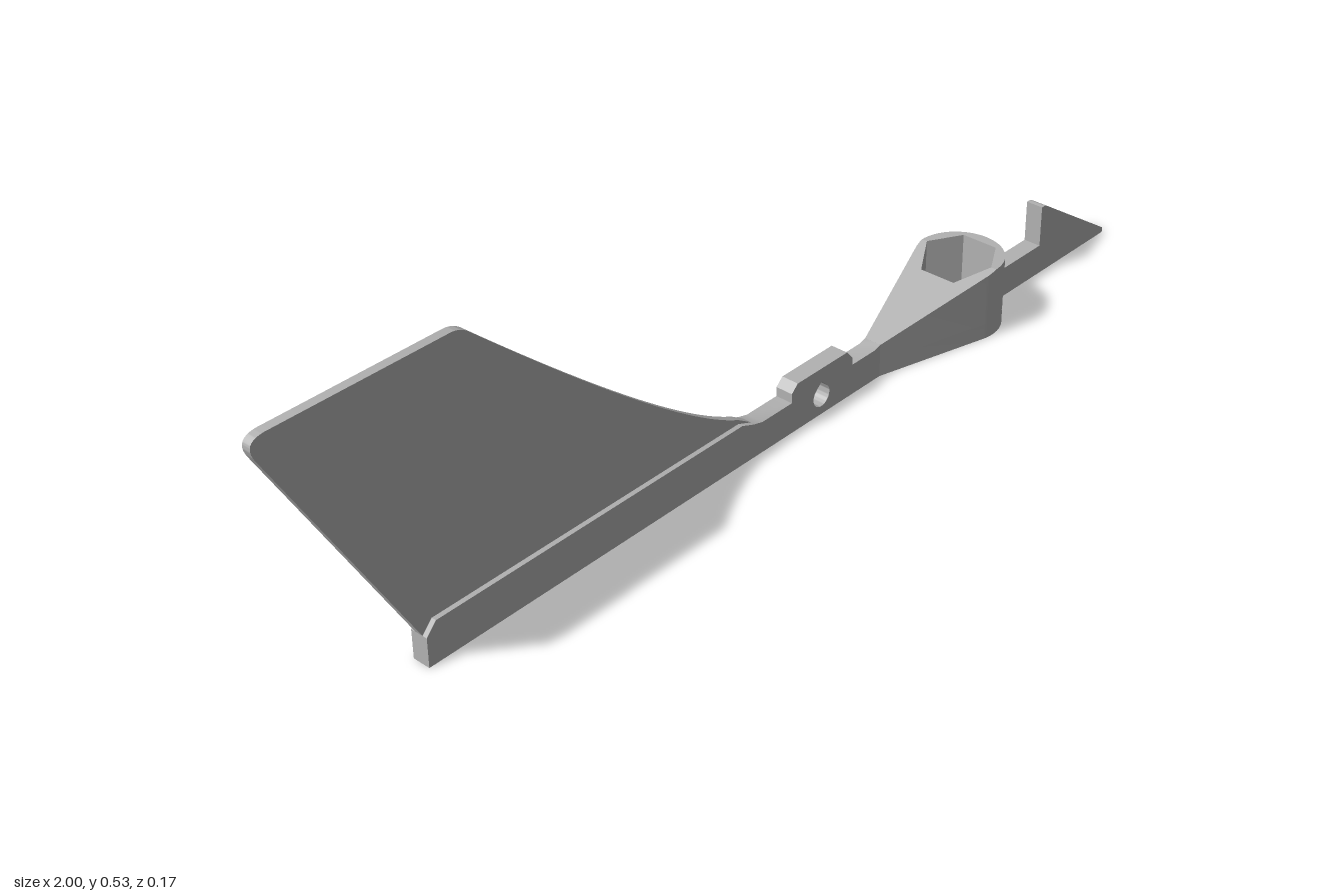
import * as THREE from 'three';
import { toCreasedNormals } from 'three/addons/utils/BufferGeometryUtils.js';

const POD_X = 0.555, POD_R = 0.083, HEX_R = 0.072;
const POD_TOP = 0.135, FLOOR = 0.03, RAIL_TOP = 0.06;

const polygon = (pts) => new THREE.Shape(pts.map(([x, y]) => new THREE.Vector2(x, y)));

// Points on a circle about the pod axis, angles in degrees
function arc(radius, from, to, steps) {
  return Array.from({ length: steps + 1 }, (_, i) => {
    const a = THREE.MathUtils.degToRad(from + ((to - from) * i) / steps);
    return [POD_X + radius * Math.cos(a), radius * Math.sin(a)];
  });
}

// Side profile extruded evenly about z = 0
function sideSlab(shape, thickness) {
  const g = new THREE.ExtrudeGeometry(shape, { depth: thickness, bevelEnabled: false, curveSegments: 24 });
  g.translate(0, 0, -thickness / 2);
  return toCreasedNormals(g, 0.4);
}

// Plan outline extruded upward from bottom to top
function planSlab(shape, bottom, top) {
  const g = new THREE.ExtrudeGeometry(shape, { depth: top - bottom, bevelEnabled: false });
  g.rotateX(-Math.PI / 2);
  g.translate(0, bottom, 0);
  return g;
}

export function createModel() {
  const group = new THREE.Group();
  const grey = new THREE.MeshStandardMaterial({ color: 0xb2b2b2 });
  grey.name = 'plainGrey';
  const add = (name, geometry) => {
    const mesh = new THREE.Mesh(geometry, grey);
    mesh.name = name;
    group.add(mesh);
  };

  // Rail with pointed nose hook, raised lug and a recess under the socket
  const rail = polygon([
    [-0.745, 0], [1, 0], [1, 0.01], [0.803, 0.138], [0.796, 0.141], [0.787, 0.141],
    [0.787, RAIL_TOP], [0.63, RAIL_TOP], [0.63, 0.02], [0.48, 0.02], [0.48, RAIL_TOP],
    [0.312, 0.064], [0.298, RAIL_TOP], [0.235, RAIL_TOP], [0.235, 0.075], [0.22, 0.092],
    [0.09, 0.092], [0.075, 0.078], [0.075, RAIL_TOP], [0, RAIL_TOP], [-0.022, 0.066],
    [-0.05, 0.077], [-0.725, 0.077], [-0.745, 0.055],
  ]);
  // Teardrop cross hole through the lug
  const hole = new THREE.Path();
  hole.absarc(0.153, 0.037, 0.021, Math.PI * 0.75, Math.PI * 2.25, false);
  hole.lineTo(0.153, 0.066);
  hole.closePath();
  rail.holes.push(hole);
  add('rail', sideSlab(rail, 0.034));

  // Thin swept fin with rounded tips and a curved leading edge
  const fin = new THREE.Shape();
  fin.moveTo(-0.745, 0.055);
  fin.lineTo(-0.995, 0.495);
  fin.quadraticCurveTo(-1.012, 0.528, -0.975, 0.53);
  fin.lineTo(-0.65, 0.53);
  fin.quadraticCurveTo(-0.628, 0.53, -0.61, 0.512);
  fin.quadraticCurveTo(-0.2, 0.15, -0.05, 0.085);
  fin.lineTo(-0.02, 0.066);
  fin.lineTo(-0.02, 0.03);
  fin.lineTo(-0.74, 0.03);
  add('fin', sideSlab(fin, 0.016));

  // Socket pod: solid floor, then two wall halves around a hexagonal pocket
  const tail = [[0.312, 0.017], [0.312, -0.017]];
  const floor = polygon([...arc(POD_R, -106, 106, 48), ...tail]);
  add('podFloor', toCreasedNormals(planSlab(floor, 0, FLOOR), 0.4));

  const round = polygon([...arc(POD_R, -90, 90, 40), ...arc(HEX_R, 90, -90, 3)]);
  add('podRoundWall', toCreasedNormals(planSlab(round, FLOOR, POD_TOP), 0.4));

  const taper = polygon([
    ...arc(POD_R, 90, 106, 4), ...tail, ...arc(POD_R, 254, 270, 4), ...arc(HEX_R, 270, 90, 3),
  ]);
  const ramp = planSlab(taper, FLOOR, POD_TOP);
  const p = ramp.attributes.position;
  // Slope the top of the tapered half down to the rail
  for (let i = 0; i < p.count; i++) {
    if (p.getY(i) > FLOOR + 0.01) {
      const t = (p.getX(i) - 0.298) / (POD_X - 0.298);
      p.setY(i, RAIL_TOP + (POD_TOP - RAIL_TOP) * t);
    }
  }
  ramp.computeVertexNormals();
  add('podRampWall', toCreasedNormals(ramp, 0.25));

  return group;
}
